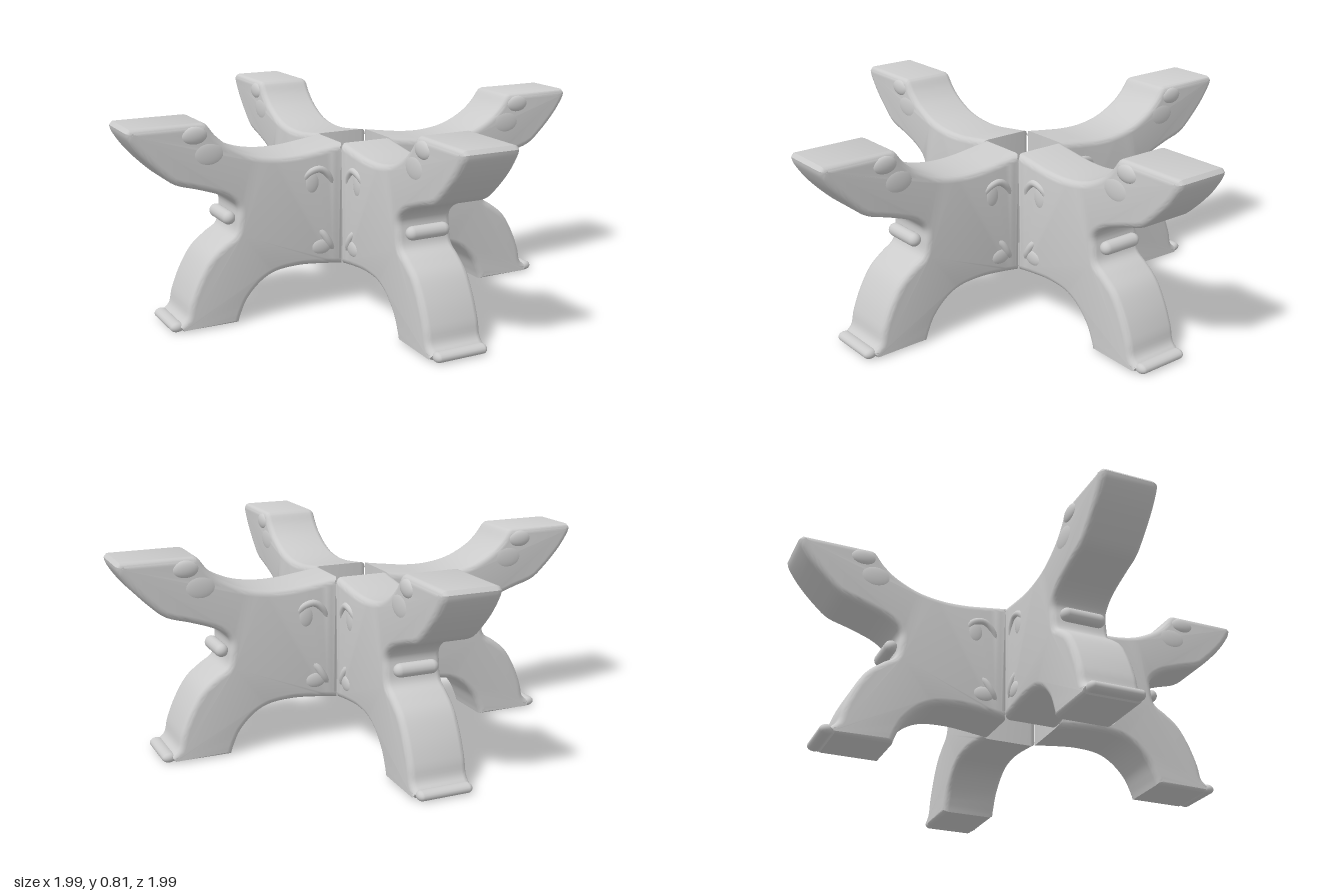
import * as THREE from 'three';
import { toCreasedNormals } from 'three/addons/utils/BufferGeometryUtils.js';

const HALF = 0.12; // half thickness of a wing
const material = new THREE.MeshStandardMaterial({ color: 0xcccccc });
const v2 = (list) => list.map(([x, y]) => new THREE.Vector2(x, y));

function add(group, name, geometry, x = 0, y = 0, z = 0) {
  const mesh = new THREE.Mesh(geometry, material);
  mesh.name = name;
  mesh.position.set(x, y, z);
  group.add(mesh);
  return mesh;
}

// Side outline: raised arm, waist notch, splayed foot and arched underside
function wingGeometry() {
  const s = new THREE.Shape();
  s.moveTo(0.11, 0.18);
  s.splineThru(v2([[0.2, 0.192], [0.3, 0.2], [0.4, 0.192], [0.47, 0.16], [0.53, 0.1], [0.56, 0.04], [0.572, 0.005]]));
  s.lineTo(0.8, 0.005);
  s.lineTo(0.825, 0.03);
  s.splineThru(v2([[0.79, 0.06], [0.775, 0.12], [0.74, 0.205], [0.69, 0.285], [0.63, 0.335], [0.58, 0.37], [0.567, 0.425],
    [0.567, 0.48], [0.62, 0.525], [0.72, 0.562], [0.81, 0.59], [0.87, 0.637], [0.94, 0.71], [0.985, 0.775], [0.995, 0.805]]));
  s.lineTo(0.982, 0.82);
  s.lineTo(0.7, 0.82);
  s.splineThru(v2([[0.68, 0.81], [0.645, 0.765], [0.59, 0.72], [0.5, 0.678], [0.4, 0.66], [0.3, 0.66], [0.2, 0.672], [0.11, 0.685]]));
  s.closePath();
  const bevel = 0.026;
  const g = new THREE.ExtrudeGeometry(s, {
    depth: 2 * (HALF - bevel), curveSegments: 4, bevelEnabled: true,
    bevelThickness: bevel, bevelSize: bevel, bevelOffset: -bevel, bevelSegments: 5,
  });
  g.translate(0, 0, -(HALF - bevel));
  return toCreasedNormals(g, 0.6);
}

// Raised ridge lying half sunk in a side face
function ridgeGeometry(points, radius, side) {
  const curve = new THREE.CatmullRomCurve3(points.map(([x, y, z]) => new THREE.Vector3(x, y, z * side)));
  return new THREE.TubeGeometry(curve, 20, radius, 10);
}

// Rounded bar running across the thickness
function barGeometry(radius, length) {
  return new THREE.CapsuleGeometry(radius, length, 6, 16).rotateX(Math.PI / 2);
}

function createWing(body) {
  const wing = new THREE.Group();
  add(wing, 'wingBody', body);
  add(wing, 'waistBar', barGeometry(0.027, 0.13), 0.588, 0.427);
  const lip = add(wing, 'footLip', barGeometry(0.02, 0.185), 0.825, 0.025);
  lip.scale.x = 1.4;
  for (const side of [-1, 1]) {
    const z = side * (HALF - 0.007);
    add(wing, 'upperRidge', ridgeGeometry([[0.15, 0.5, -0.016], [0.175, 0.56, 0], [0.215, 0.592, 0.004],
      [0.265, 0.578, 0], [0.29, 0.53, -0.018]], 0.015, side), 0, 0, z);
    add(wing, 'lowerRidge', ridgeGeometry([[0.15, 0.24, -0.016], [0.175, 0.28, 0.002],
      [0.2, 0.32, 0], [0.23, 0.35, -0.018]], 0.016, side), 0, 0, z);
    // Shallow swellings at the root and near the top of the arm
    for (const [x, y, rx, ry, rz] of [[0.21, 0.27, 0.05, 0.035, 0.014], [0.25, 0.54, 0.035, 0.05, 0.012],
      [0.735, 0.775, 0.055, 0.035, 0.017], [0.68, 0.7, 0.07, 0.05, 0.012]]) {
      add(wing, 'swelling', new THREE.SphereGeometry(1, 20, 14), x, y, z).scale.set(rx, ry, rz);
    }
  }
  return wing;
}

export function createModel() {
  const model = new THREE.Group();
  model.name = 'crossStand';
  const body = wingGeometry();
  // Four wings around an open square core
  ['leftWing', 'backWing', 'rightWing', 'frontWing'].forEach((name, i) => {
    const wing = createWing(body);
    wing.name = name;
    wing.rotation.y = i * Math.PI / 2;
    model.add(wing);
  });
  return model;
}
